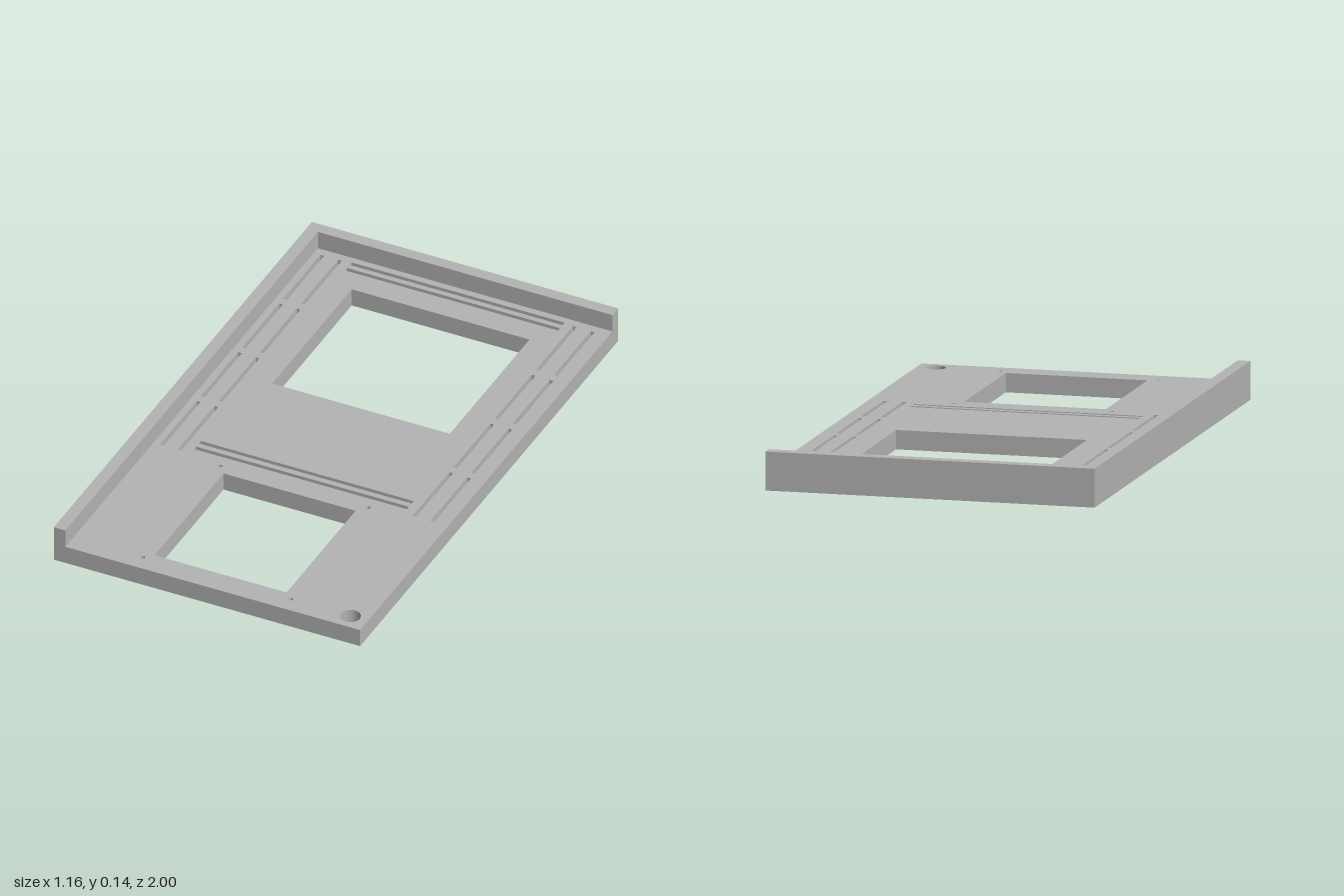
import * as THREE from 'three';

const FLOOR = 0.067, TOP = 0.135;   // floor thickness, rim height
const W = 0.58, D = 1, RIM = 0.044; // half width, half depth, rim thickness

// Closed rectangle path in plan (x, z)
const rect = (x0, x1, z0, z1) => new THREE.Path([
  [x0, z0], [x0, z1], [x1, z1], [x1, z0],
].map(([x, z]) => new THREE.Vector2(x, z)));

const circle = (x, z, r) => new THREE.Path().absarc(x, z, r, 0, Math.PI * 2, true);

// Extrude a plan shape between two heights
function slab(name, shape, y0, y1, material) {
  const geometry = new THREE.ExtrudeGeometry(shape, { depth: y1 - y0, bevelEnabled: false, curveSegments: 16 });
  geometry.rotateX(Math.PI / 2).translate(0, y1, 0);
  const mesh = new THREE.Mesh(geometry, material);
  mesh.name = name;
  return mesh;
}

export function createModel() {
  const group = new THREE.Group();
  group.name = 'ventedPanel';
  const grey = new THREE.MeshStandardMaterial({ color: 0xb3b3b3 });
  grey.name = 'grey';

  // Floor with all of its openings
  const floor = new THREE.Shape([
    [-W, -D], [W, -D], [W, D], [-W, D],
  ].map(([x, z]) => new THREE.Vector2(x, z)));

  // Two large windows
  floor.holes.push(rect(-0.326, 0.347, -0.789, -0.172));
  floor.holes.push(rect(-0.242, 0.258, 0.376, 0.911));

  // Cross slots, in pairs behind and ahead of the rear window
  for (const z of [-0.923, -0.887, 0.246, 0.283]) {
    floor.holes.push(rect(-0.396, 0.411, z - 0.008, z + 0.008));
  }

  // Side slots, four along each of four lines
  for (const x of [-0.504, -0.437, 0.452, 0.52]) {
    for (let i = 0; i < 4; i++) {
      const z = -0.925 + i * 0.319;
      floor.holes.push(rect(x - 0.007, x + 0.007, z, z + 0.287));
    }
  }

  // Screw holes around the front window, and the corner hole
  for (const x of [-0.272, 0.288]) {
    for (const z of [0.341, 0.94]) floor.holes.push(circle(x, z, 0.008));
  }
  floor.holes.push(circle(0.514, 0.94, 0.036));
  group.add(slab('floor', floor, 0, FLOOR, grey));

  // Raised L-shaped rim along the right side and the back
  const rim = new THREE.Shape([
    [-W, -D], [W, -D], [W, -D + RIM], [-W + RIM, -D + RIM], [-W + RIM, D], [-W, D],
  ].map(([x, z]) => new THREE.Vector2(x, z)));
  group.add(slab('rim', rim, FLOOR, TOP, grey));

  return group;
}
